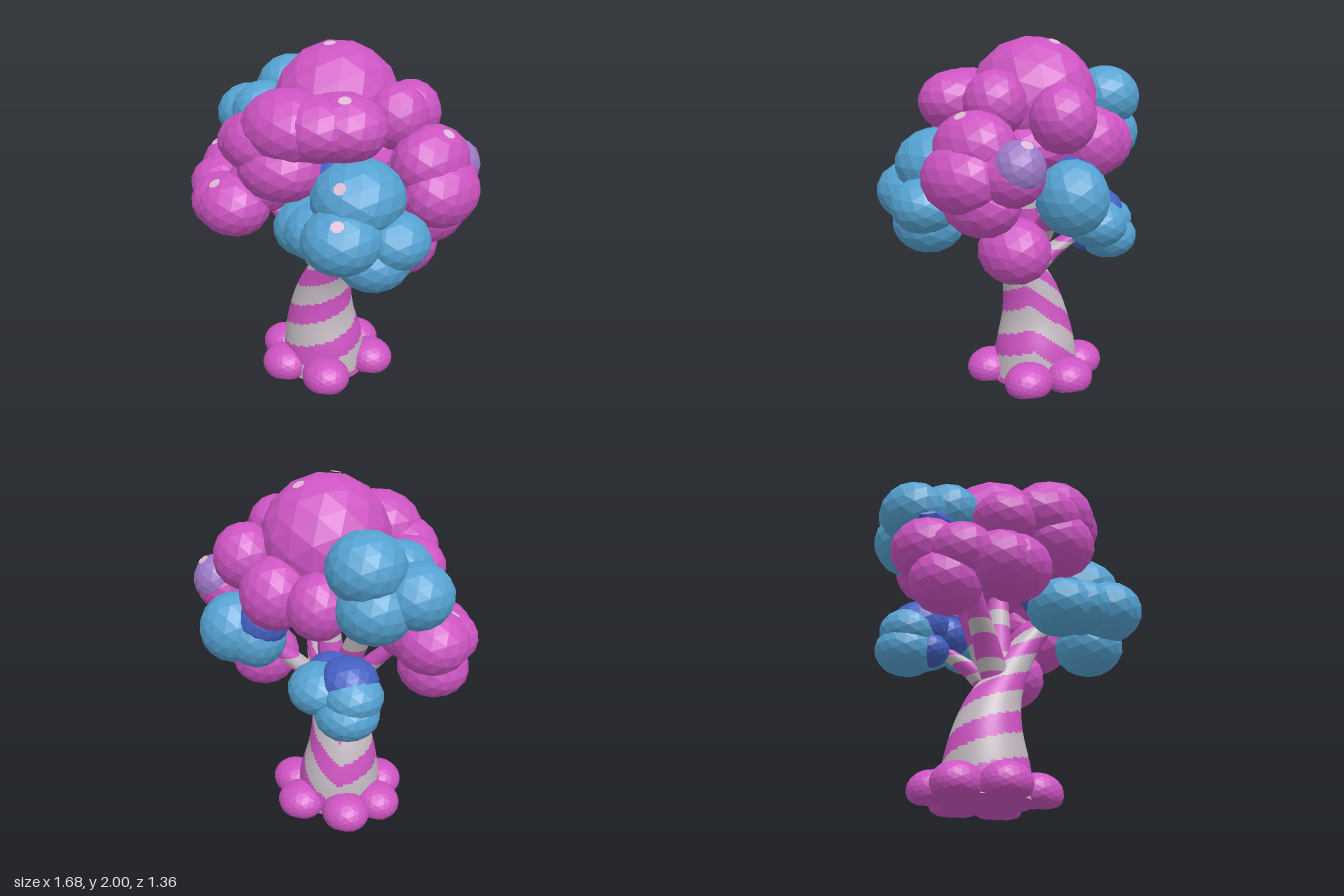
import * as THREE from 'three';

const flat = (name, color) => Object.assign(new THREE.MeshStandardMaterial({ color, flatShading: true }), { name });
const smooth = (name, color) => Object.assign(new THREE.MeshStandardMaterial({ color }), { name });

// Leaf cluster: lobes are [x, y, z, radius], all squashed by one shape; spots lie on lobes, in a direction
function cluster(name, mat, spotMat, shape, lobes, spots = []) {
  const group = new THREE.Group();
  group.name = name;
  const ball = new THREE.IcosahedronGeometry(1.01, 2).scale(...shape);
  for (const [x, y, z, r] of lobes) {
    const lobe = new THREE.Mesh(ball, mat);
    lobe.name = 'leafLobe';
    lobe.position.set(x, y, z);
    lobe.scale.setScalar(r);
    group.add(lobe);
  }
  const disc = new THREE.CircleGeometry(0.034, 8);
  const s = new THREE.Vector3(...shape);
  for (const [k, ...dir] of spots) {
    const [x, y, z, r] = lobes[k];
    const d = new THREE.Vector3(...dir).normalize();
    const n = d.clone().divide(s).normalize();
    const spot = new THREE.Mesh(disc, spotMat);
    spot.name = 'leafSpot';
    spot.position.set(x, y, z).addScaledVector(d.multiply(s), r).addScaledVector(n, 0.006);
    spot.quaternion.setFromUnitVectors(new THREE.Vector3(0, 0, 1), n);
    group.add(spot);
  }
  return group;
}

// Tapering limb through [x, y, z, radius] stations; striped(t, y, angle) picks the second material
function limb(name, stations, rows, cols, striped, materials) {
  const path = new THREE.CatmullRomCurve3(stations.map(s => new THREE.Vector3(s[0], s[1], s[2])));
  const size = new THREE.CatmullRomCurve3(stations.map((s, i) => new THREE.Vector3(s[3], i, 0)));
  const pos = [], plain = [], pale = [];
  for (let i = 0; i <= rows; i++) {
    const c = path.getPoint(i / rows), r = size.getPoint(i / rows).x;
    for (let j = 0; j <= cols; j++) {
      const a = (j / cols) * Math.PI * 2 - Math.PI;
      pos.push(c.x + Math.sin(a) * r, c.y, c.z + Math.cos(a) * r);
      if (i === rows || j === cols) continue;
      const p = i * (cols + 1) + j, q = p + cols + 1;
      (striped(i / rows, c.y, a) ? pale : plain).push(p, p + 1, q, p + 1, q + 1, q);
    }
  }
  const g = new THREE.BufferGeometry();
  g.setAttribute('position', new THREE.Float32BufferAttribute(pos, 3));
  g.setIndex([...plain, ...pale]);
  g.addGroup(0, plain.length, 0);
  g.addGroup(plain.length, pale.length, 1);
  g.computeVertexNormals();
  const mesh = new THREE.Mesh(g, materials);
  mesh.name = name;
  return mesh;
}

export function createModel() {
  const tree = new THREE.Group();
  tree.name = 'tree';
  const magenta = flat('magenta', 0xcd54c2), blue = flat('blue', 0x55a2d2);
  const deepBlue = flat('deepBlue', 0x4460c2), violet = flat('violet', 0x9c78c6);
  const bark = smooth('bark', 0xcd54c2), stripe = smooth('stripe', 0xc2b9c0);
  const pale = smooth('spot', 0xdcb8d2);
  const leaves = (name, mat, ...rest) => tree.add(cluster(name, mat, pale, ...rest));

  // Crown: one large dome, a collar of lobes behind it and a broad bank in front
  leaves('crownDome', magenta, [0.96, 1, 1.03], [[0, 1.64, -0.03, 0.357]], [[0, 0.06, 1, -0.5], [0, 0.03, 1, 0.2]]);
  leaves('crownCollar', magenta, [1, 1.05, 1],
    [[0.37, 1.64, -0.08, 0.17], [0.22, 1.57, -0.41, 0.175], [-0.03, 1.43, -0.4, 0.19], [-0.28, 1.41, -0.31, 0.17]]);
  leaves('crownUnderside', magenta, [1, 0.54, 1], [[0.03, 1.4, -0.08, 0.34]]);
  leaves('crownFront', magenta, [1.15, 0.85, 1],
    [[-0.25, 1.48, 0.36, 0.19], [0.06, 1.63, 0.41, 0.23], [0.29, 1.64, 0.26, 0.21], [0.03, 1.42, 0.45, 0.21],
      [-0.08, 1.53, 0.46, 0.2], [0.2, 1.64, 0.37, 0.2]], [[2, 0.27, 0.8, 0.3]]);

  // Magenta clusters on both sides and low at the back
  leaves('leftSideLeaves', magenta, [1, 1, 1.25],
    [[0.57, 1.43, -0.12, 0.19], [0.65, 1.28, -0.11, 0.19], [0.56, 1.15, -0.15, 0.18], [0.54, 1.3, -0.31, 0.165]],
    [[0, 0.5, 0.8, 0]]);
  leaves('lowBackLeaves', magenta, [1, 1, 1.15], [[0.36, 0.87, -0.2, 0.18]]);
  leaves('rightSideLeaves', magenta, [1.1, 0.92, 1.05],
    [[-0.64, 1.21, 0.15, 0.19], [-0.59, 1.02, 0.23, 0.18], [-0.33, 1.12, 0.46, 0.19], [-0.57, 1.16, 0.33, 0.17],
      [-0.27, 1.22, 0.3, 0.18], [-0.41, 1.12, 0.45, 0.18], [-0.46, 1.21, 0.18, 0.18]],
    [[0, -0.3, 0.85, 0.5], [2, -0.1, 0.75, 0.5]]);

  // Blue clusters
  leaves('frontBlueLeaves', blue, [1.05, 0.9, 1.1],
    [[0.42, 1.3, 0.29, 0.23], [0.16, 1.1, 0.37, 0.18], [0.27, 1.12, 0.42, 0.17], [0.46, 1.14, 0.46, 0.195],
      [0.52, 0.99, 0.28, 0.185], [0.61, 1.1, 0.22, 0.17]], [[0, 0.2, 0.55, 0.75], [3, 0.35, 0.72, 0.55]]);
  leaves('upperBlueLeaves', blue, [1, 0.93, 1.05],
    [[-0.49, 1.65, -0.18, 0.2], [-0.65, 1.5, 0.02, 0.185], [-0.46, 1.56, 0.08, 0.18], [-0.53, 1.44, -0.15, 0.2]]);
  leaves('lowBlueLeaves', blue, [1, 0.78, 1],
    [[-0.44, 0.83, -0.25, 0.175], [-0.27, 0.93, -0.29, 0.18], [-0.45, 0.93, -0.22, 0.165]]);
  leaves('backBlueLeaves', blue, [0.95, 1.02, 1], [[0.24, 1.17, -0.49, 0.195], [0.13, 1.13, -0.42, 0.17]]);

  // Shaded inner leaves
  leaves('shadeUnderUpper', deepBlue, [1, 0.45, 1], [[-0.59, 1.42, 0.03, 0.19]]);
  leaves('shadeLow', deepBlue, [1, 0.85, 1],
    [[-0.39, 0.98, -0.2, 0.165], [-0.22, 0.96, -0.18, 0.14], [-0.36, 0.83, -0.15, 0.11]]);
  leaves('shadeInner', deepBlue, [1, 1, 1],
    [[0.1, 1.23, -0.4, 0.15], [0.1, 1.17, 0.28, 0.12], [0.27, 1.37, 0.3, 0.12]]);
  leaves('violetLeaves', violet, [0.95, 1, 1], [[0.55, 1.34, -0.385, 0.145]], [[0, 0.15, 0.8, -0.5]]);

  // Trunk sweeping up into the main branch; stripes climb around the front and drop again at the back
  const barks = [bark, stripe];
  const stripes = (t, y, a) => {
    const u = (a / (Math.PI * 2) + 1.375) % 1;
    const climb = 0.27 * (u < 0.72 ? u / 0.72 : (1 - u) / 0.28);
    return ((y - 0.06 - climb) / 0.26 + 5) % 1 < 0.52;
  };
  tree.add(limb('trunk', [
    [-0.07, 0, 0.01, 0.255], [-0.075, 0.2, 0.01, 0.235], [-0.08, 0.38, 0.02, 0.195],
    [-0.045, 0.56, 0.03, 0.158], [0.02, 0.7, 0.045, 0.13], [0.11, 0.86, 0.06, 0.11],
    [0.2, 1, 0.1, 0.09], [0.32, 1.15, 0.18, 0.07]], 90, 72, stripes, barks));

  // Side branches curving outward from the fork to each leaf cluster
  const bands = t => (t * 3 + 0.2) % 1 > 0.68;
  const tips = [[-0.42, 1.15, 0.2], [0.06, 1.45, -0.02], [0.24, 1.15, -0.4],
    [-0.32, 0.95, -0.26], [-0.48, 1.5, -0.03]];
  for (const [x, y, z] of tips) {
    const stations = [0, 0.33, 0.67, 1].map(t => {
      const out = t ** 1.25;
      return [-0.01 + (x + 0.01) * out, 0.62 + (y - 0.62) * t, 0.03 + (z - 0.03) * out, 0.095 - 0.045 * t];
    });
    tree.add(limb('branch', stations, 24, 12, bands, barks));
  }

  // Ring of rounded roots, flattened on the ground
  const rootShape = new THREE.IcosahedronGeometry(1, 3);
  const v = rootShape.attributes.position;
  for (let i = 0; i < v.count; i++) v.setY(i, Math.max(v.getY(i), -0.5));
  for (const degrees of [-21, 41, 122, 175, 238, 286]) {
    const a = THREE.MathUtils.degToRad(degrees);
    const root = new THREE.Mesh(rootShape, magenta);
    root.name = 'root';
    root.position.set(-0.07 + Math.sin(a) * 0.28, 0.055, Math.cos(a) * 0.265);
    root.scale.set(0.145, 0.11, 0.135);
    tree.add(root);
  }
  const sole = new THREE.Mesh(new THREE.CircleGeometry(0.255, 32), bark);
  sole.name = 'trunkBase';
  sole.rotation.x = Math.PI / 2;
  sole.position.set(-0.07, 0, 0.01);
  tree.add(sole);
  return tree;
}
